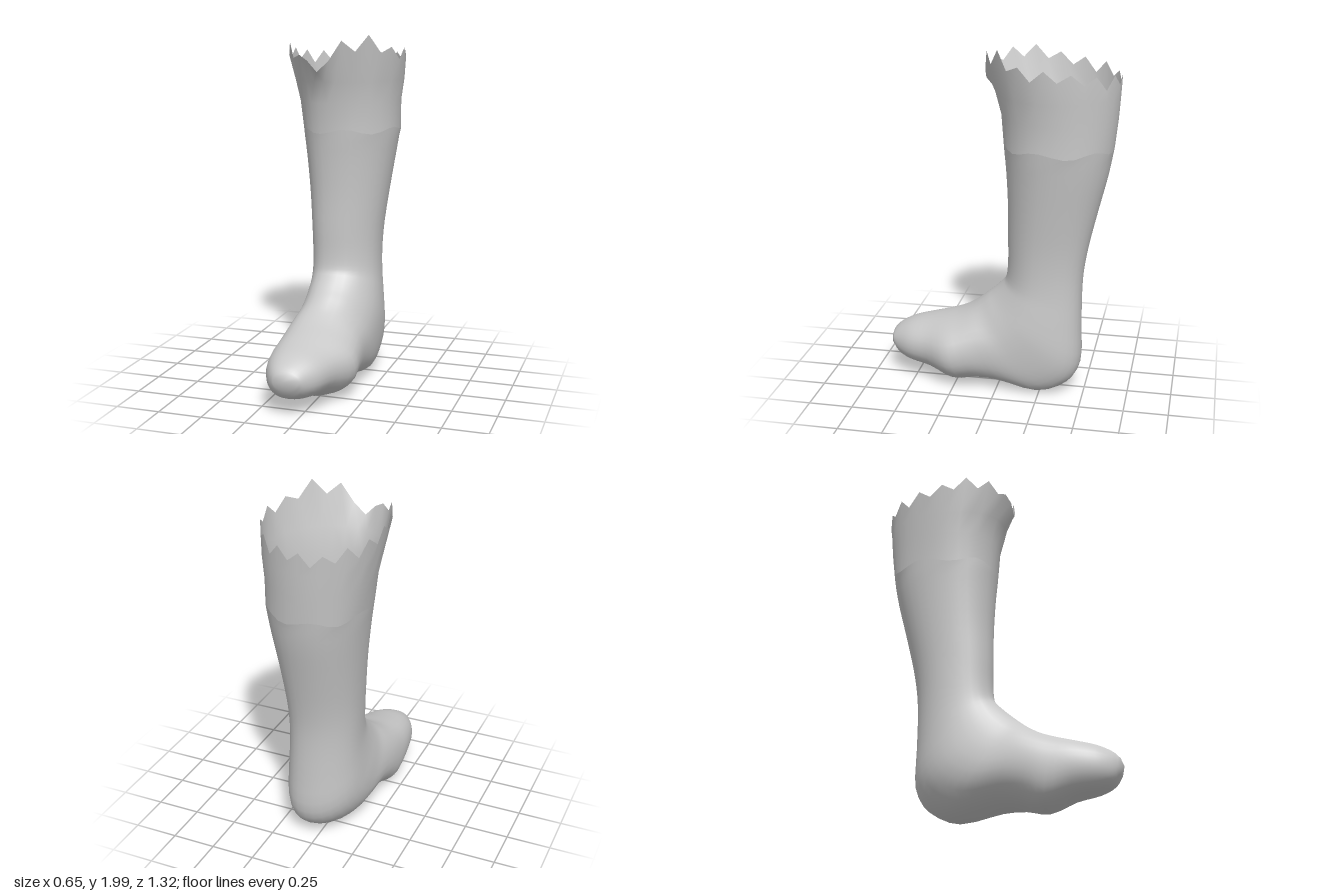
import * as THREE from 'three';

const SIDES = 32;

// One closed ring through a front and a back point (each z, y, x), spanning xMin..xMax.
function ring([zf, yf, xf, zb, yb, xb, xMin, xMax], power = 2.15) {
  const points = [];
  const mid = (xMin + xMax) / 2;
  const shape = v => Math.sign(v) * Math.pow(Math.abs(v), 2 / power);
  for (let i = 0; i < SIDES; i++) {
    const t = (i / SIDES) * Math.PI * 2;
    const c = Math.cos(t);
    const k = (1 + shape(c)) / 2; // 1 at the front, 0 at the back
    const lean = ((c > 0 ? xf : xb) - mid) * c * c;
    const x = mid + lean + (shape(Math.sin(t)) * (xMax - xMin)) / 2;
    points.push(new THREE.Vector3(x, yb + (yf - yb) * k, zb + (zf - zb) * k));
  }
  return points;
}

// Skin a list of rings, ordered from the top down, with an optional closing tip.
function loft(rings, tip) {
  const points = rings.flat();
  const index = [];
  for (let r = 0; r < rings.length - 1; r++) {
    for (let i = 0; i < SIDES; i++) {
      const j = (i + 1) % SIDES;
      const a = r * SIDES + i, d = r * SIDES + j;
      index.push(a, a + SIDES, d, a + SIDES, d + SIDES, d);
    }
  }
  if (tip) {
    const base = (rings.length - 1) * SIDES;
    points.push(tip);
    for (let i = 0; i < SIDES; i++) index.push(base + i, points.length - 1, base + (i + 1) % SIDES);
  }
  const geometry = new THREE.BufferGeometry().setFromPoints(points);
  geometry.setIndex(index);
  geometry.computeVertexNormals();
  return geometry;
}

export function createModel() {
  const group = new THREE.Group();
  group.name = 'boot';
  const grey = new THREE.MeshStandardMaterial({ color: 0xc8c8c8, side: THREE.DoubleSide });
  grey.name = 'plain grey';

  // Leg and foot: sections fan around the ankle from level to upright.
  // Each is front z, y, x, then back z, y, x, then right and left extents.
  const sections = [
    [-0.02, 1.46, -0.03, -0.632, 1.46, 0, -0.258, 0.285],
    [-0.035, 1.30, -0.03, -0.603, 1.30, 0.01, -0.237, 0.26],
    [-0.045, 1.10, -0.03, -0.555, 1.10, 0.02, -0.215, 0.23],
    [-0.045, 0.90, -0.035, -0.51, 0.90, 0.03, -0.198, 0.204],
    [-0.045, 0.76, -0.035, -0.485, 0.74, 0.035, -0.19, 0.195],
    [-0.035, 0.67, -0.035, -0.478, 0.58, 0.04, -0.187, 0.198],
    [-0.01, 0.63, -0.035, -0.48, 0.40, 0.045, -0.19, 0.21],
    [0.04, 0.58, -0.04, -0.48, 0.20, 0.05, -0.20, 0.222],
    [0.08, 0.545, -0.04, -0.41, 0.08, 0.055, -0.21, 0.22],
    [0.12, 0.51, -0.045, -0.25, 0.01, 0.05, -0.218, 0.212],
    [0.17, 0.47, -0.05, -0.02, 0.045, 0.02, -0.23, 0.207],
    [0.24, 0.43, -0.055, 0.12, 0.04, -0.02, -0.24, 0.213],
    [0.32, 0.40, -0.06, 0.25, 0.01, -0.06, -0.243, 0.215],
    [0.42, 0.37, -0.07, 0.40, 0.06, -0.07, -0.237, 0.148],
    [0.53, 0.34, -0.07, 0.53, 0.085, -0.07, -0.213, 0.10],
    [0.61, 0.30, -0.075, 0.61, 0.12, -0.07, -0.17, 0.045],
    [0.648, 0.265, -0.07, 0.648, 0.175, -0.07, -0.13, 0.01],
  ];
  const curve = start => new THREE.CatmullRomCurve3(
    sections.map(s => new THREE.Vector3(s[start], s[start + 1], s[start + 2] ?? 0)),
    false, 'catmullrom', 0.5);
  const front = curve(0), back = curve(3), width = curve(6);
  const steps = (sections.length - 1) * 3;
  const rings = [];
  for (let n = 0; n <= steps; n++) {
    const [f, b, w] = [front, back, width].map(c => c.getPoint(n / steps).toArray());
    rings.push(ring([...f, ...b, w[0], w[1]]));
  }
  // The wavy crease shared by the leg and the cuff
  const crease = rings[0];
  crease.forEach((p, i) => { p.y += 0.015 * Math.sin(i * 1.18); });
  const leg = new THREE.Mesh(loft(rings, new THREE.Vector3(-0.07, 0.225, 0.664)), grey);
  leg.name = 'legAndFoot';
  group.add(leg);

  // Cuff: a flaring band with a torn upper rim.
  const rimHeights = [
    1.80, 1.86, 1.97, 1.91, 2.00, 1.90, 1.93, 1.86, 1.92, 1.86, 1.90, 1.84, 1.88, 1.80, 1.87, 1.81,
    1.86, 1.79, 1.85, 1.81, 1.88, 1.81, 1.89, 1.84, 1.91, 1.87, 1.95, 1.88, 1.94, 1.87, 1.89, 1.86,
  ];
  const rim = ring([0.09, 0, -0.07, -0.66, 0, -0.03, -0.325, 0.323], 1.95);
  rim.forEach((p, i) => { p.y = rimHeights[i]; });
  const cuff = new THREE.Mesh(loft([
    rim,
    ring([0.03, 1.74, -0.05, -0.655, 1.74, -0.02, -0.303, 0.308], 2),
    ring([-0.005, 1.62, -0.04, -0.648, 1.62, -0.01, -0.28, 0.287], 2.05),
    crease,
  ]), grey);
  cuff.name = 'tornCuff';
  group.add(cuff);

  return group;
}
